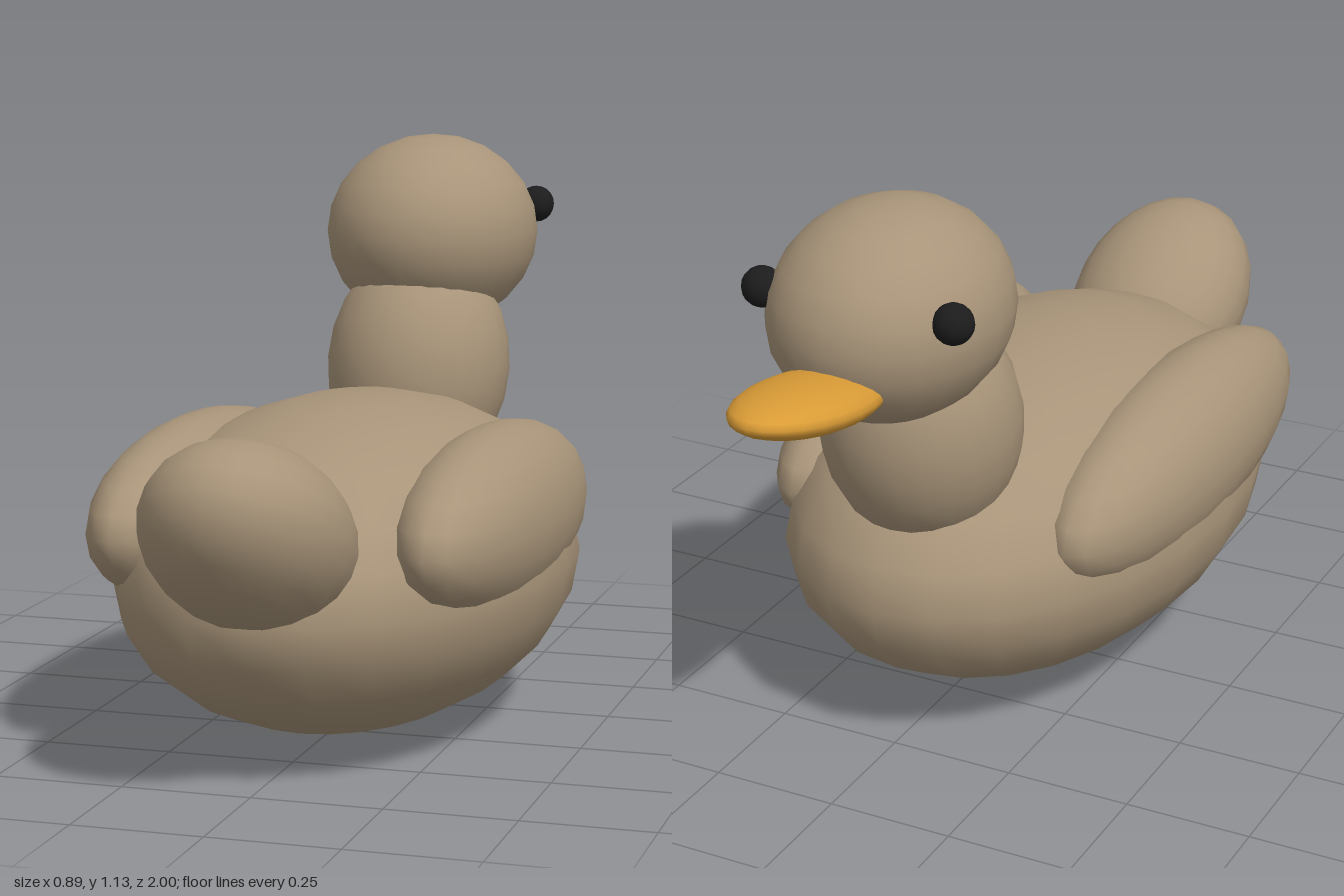
import * as THREE from 'three';

const plumage = new THREE.MeshStandardMaterial({ name: 'plumage tan', color: 0xa89479 });
const orange = new THREE.MeshStandardMaterial({ name: 'beak orange', color: 0xd99b36 });
const black = new THREE.MeshStandardMaterial({ name: 'eye black', color: 0x1c1c1c });

const ball = new THREE.SphereGeometry(1, 24, 12);
const smallBall = new THREE.SphereGeometry(1, 16, 10);

// Ellipsoid part: centre, radii and pitch in degrees about x
function ellipsoid(name, material, centre, radii, pitch = 0, geometry = ball) {
  const mesh = new THREE.Mesh(geometry, material);
  mesh.name = name;
  mesh.position.set(...centre);
  mesh.scale.set(...radii);
  mesh.rotation.x = THREE.MathUtils.degToRad(pitch);
  return mesh;
}

export function createModel() {
  const duck = new THREE.Group();
  duck.name = 'duck';

  // Trunk, raised tail, neck and head; the beak points to -z
  duck.add(
    ellipsoid('body', plumage, [0, 0.328, 0.11], [0.438, 0.324, 0.69]),
    ellipsoid('tail', plumage, [0, 0.485, 0.75], [0.193, 0.164, 0.27], -29),
    ellipsoid('neck', plumage, [0, 0.65, -0.372], [0.193, 0.25, 0.208], -15),
    ellipsoid('head', plumage, [0, 0.924, -0.48], [0.223, 0.207, 0.268]),
    ellipsoid('beak', orange, [0, 0.855, -0.79], [0.11, 0.045, 0.212], 9)
  );

  // Mirrored wings and eyes
  for (const [side, s] of [['left', 1], ['right', -1]]) {
    duck.add(
      ellipsoid(side + 'Wing', plumage, [s * 0.3, 0.433, 0.152], [0.146, 0.177, 0.522], -1),
      ellipsoid(side + 'Eye', black, [s * 0.197, 0.975, -0.612], [0.039, 0.039, 0.039], 0, smallBall)
    );
  }
  return duck;
}
